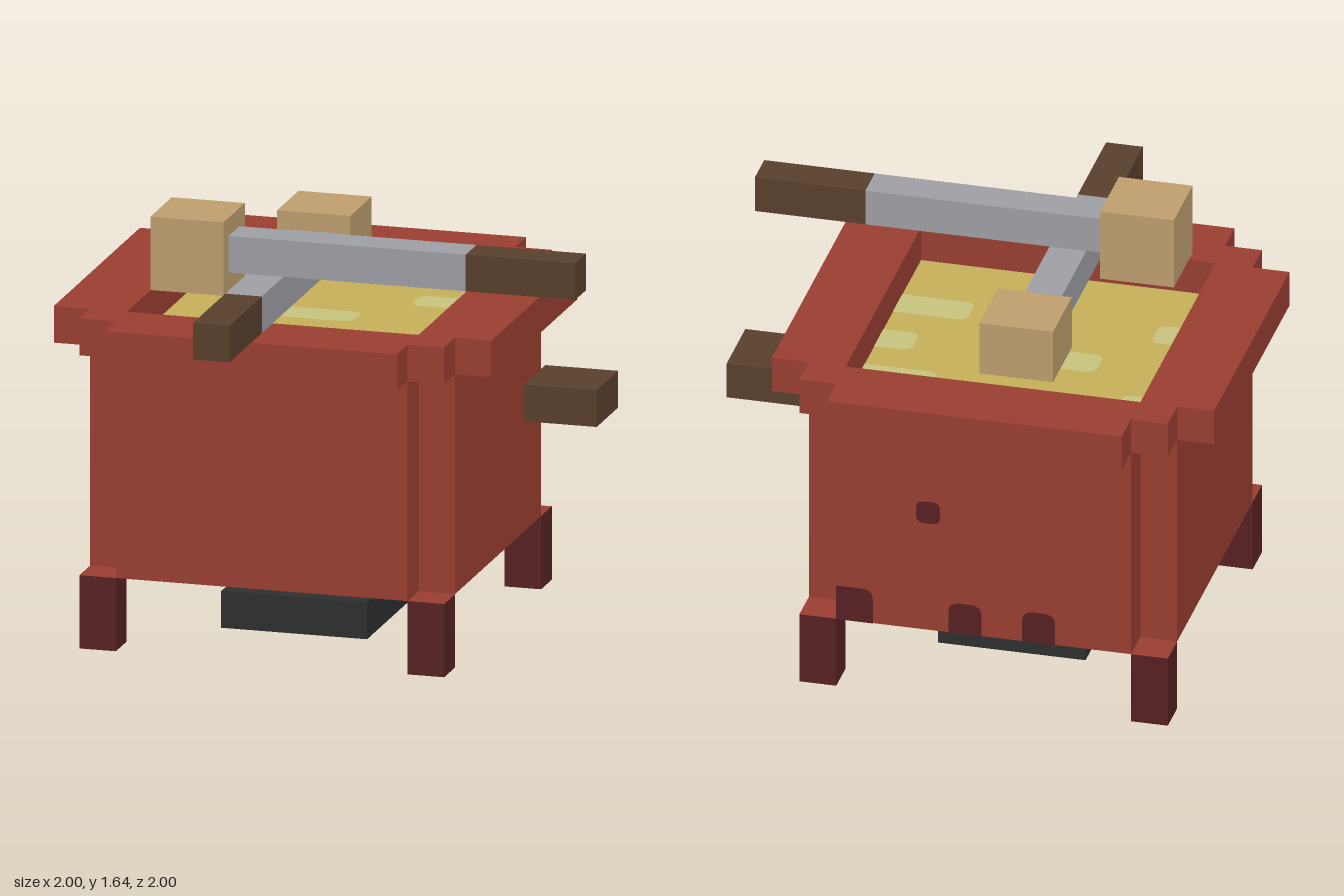
import * as THREE from 'three';

const U = 1 / 7; // grid unit of the blocky design

const mat = (name, color) => {
  const m = new THREE.MeshStandardMaterial({ color });
  m.name = name;
  return m;
};

// Stepped outline from a list of [x, z] grid points (shape y = -z)
const outline = (pts, Type = THREE.Shape) =>
  new Type(pts.map(([x, z]) => new THREE.Vector2(x * U, -z * U)));

// Rectangle centred on the origin with one radius per corner: bl, br, tr, tl
function roundedTile(w, h, [bl, br, tr, tl]) {
  const s = new THREE.Shape();
  const x = w / 2, y = h / 2;
  s.moveTo(-x + bl, -y);
  s.lineTo(x - br, -y);
  if (br) s.quadraticCurveTo(x, -y, x, -y + br);
  s.lineTo(x, y - tr);
  if (tr) s.quadraticCurveTo(x, y, x - tr, y);
  s.lineTo(-x + tl, y);
  if (tl) s.quadraticCurveTo(-x, y, -x, y - tl);
  s.lineTo(-x, -y + bl);
  if (bl) s.quadraticCurveTo(-x, -y, -x + bl, -y);
  return new THREE.ShapeGeometry(s, 5);
}

export function createModel() {
  const group = new THREE.Group();
  const red = mat('red paint', 0x9c3f32);
  const maroon = mat('dark maroon', 0x592123);
  const yellow = mat('yellow liquid', 0xc8b15a);
  const pale = mat('pale liquid', 0xc8c580);
  const wood = mat('light wood', 0xc0a070);
  const brown = mat('dark brown wood', 0x5a402d);
  const grey = mat('grey metal', 0xa0a1a7);
  const black = mat('charcoal', 0x2d302f);

  const add = (name, geo, material, parent = group) => {
    const mesh = new THREE.Mesh(geo, material);
    mesh.name = name;
    parent.add(mesh);
    return mesh;
  };
  // Box given by its grid limits
  const box = (name, [x0, x1], [y0, y1], [z0, z1], material, parent) => {
    const geo = new THREE.BoxGeometry((x1 - x0) * U, (y1 - y0) * U, (z1 - z0) * U);
    geo.translate((x0 + x1) / 2 * U, (y0 + y1) / 2 * U, (z0 + z1) / 2 * U);
    return add(name, geo, material, parent);
  };
  // Upright prism between two grid heights
  const prism = (name, shape, y0, y1, material) => {
    const geo = new THREE.ExtrudeGeometry(shape, { depth: (y1 - y0) * U, bevelEnabled: false });
    geo.rotateX(-Math.PI / 2);
    geo.translate(0, y0 * U, 0);
    return add(name, geo, material);
  };

  // Tub with notched corners
  const tub = outline([
    [-5, 4], [3, 4], [3, 3], [4, 3], [4, -5], [3, -5],
    [3, -6], [-5, -6], [-5, -5], [-6, -5], [-6, 3], [-5, 3],
  ]);
  prism('tub', tub, 2, 8, red);
  const under = new THREE.ShapeGeometry(tub);
  under.rotateX(-Math.PI / 2);
  under.index.array.reverse(); // face downwards
  under.computeVertexNormals();
  under.translate(0, 2 * U - 0.003, 0);
  add('tubUnderside', under, maroon);

  // Stepped rim with a square opening
  const rim = outline([
    [-5, 5], [3, 5], [3, 4], [4, 4], [4, 3], [5, 3], [5, -5], [4, -5], [4, -6], [3, -6],
    [3, -7], [-5, -7], [-5, -6], [-6, -6], [-6, -5], [-7, -5], [-7, 3], [-6, 3], [-6, 4], [-5, 4],
  ]);
  rim.holes.push(outline([[-5, -5], [3, -5], [3, 3], [-5, 3]], THREE.Path));
  prism('rim', rim, 8, 9, red);

  // Legs, painted red on top
  for (const x of [-6, 3]) for (const z of [-6, 3]) {
    box('leg', [x, x + 1], [0, 2], [z, z + 1], [maroon, maroon, red, maroon, maroon, maroon]);
  }

  // Base block and side handle
  box('baseBlock', [-3, 1], [0, 1], [-3, 1], black);
  box('sideHandle', [5, 7], [6, 7], [-2, 0], brown);

  // Liquid surface with paler patches: x0, x1, z0, z1, corner radii (bl, br, tr, tl)
  box('liquid', [-5, 3], [8, 8.03], [-5, 3], yellow);
  const r = 0.3 * U;
  [
    [-5, -4, -4, -3, [0, r, r, 0]],
    [2, 3, -5, -4, [0, 0, 0, r]],
    [1, 3, -4, -3, [r, 0, 0, r]],
    [-3, 0, -2, -1, [r, r, r, r]],
    [2, 3, -2, -1, [r, 0, 0, r]],
    [-5, -4, 0, 1, [0, r, r, 0]],
    [1, 3, 0, 1, [r, 0, 0, r]],
  ].forEach(([x0, x1, z0, z1, radii]) => {
    const geo = roundedTile((x1 - x0) * U, (z1 - z0) * U, radii);
    geo.rotateX(-Math.PI / 2);
    geo.translate((x0 + x1) / 2 * U, 8.05 * U, (z0 + z1) / 2 * U);
    add('liquidPatch', geo, pale);
  });

  // Dark stains on the back wall: centre x, centre y, width, corner radii
  [
    [2.5, 2.5, 1, [0, 0, r, 0]],
    [-0.5, 2.45, 0.9, [0, 0, r, r]],
    [-2.5, 2.45, 0.9, [0, 0, r, r]],
    [0.5, 5.5, 0.65, [r * 0.7, r * 0.7, r * 0.7, r * 0.7]],
  ].forEach(([x, y, w, radii]) => {
    const geo = roundedTile(w * U, w * U, radii);
    geo.rotateY(Math.PI);
    geo.translate(x * U, y * U, -6 * U - 0.003);
    add('backStain', geo, maroon);
  });

  // Two crossed mallets resting on the rim
  const lower = new THREE.Group();
  lower.name = 'lowerMallet';
  box('malletHead', [-2.5, -0.5], [9, 10.5], [-4.5, -2.5], wood, lower);
  box('malletShaft', [-2, -1], [9, 10], [-2.5, 4], grey, lower);
  box('malletGrip', [-2, -1], [9, 10], [4, 7], brown, lower);
  const upper = new THREE.Group();
  upper.name = 'upperMallet';
  box('malletHead', [-4.5, -2.5], [9.5, 11.5], [0.5, 2.5], wood, upper);
  box('malletShaft', [-2.5, 4], [10, 11], [1, 2], grey, upper);
  box('malletGrip', [4, 7], [10, 11], [1, 2], brown, upper);
  group.add(lower, upper);

  return group;
}
